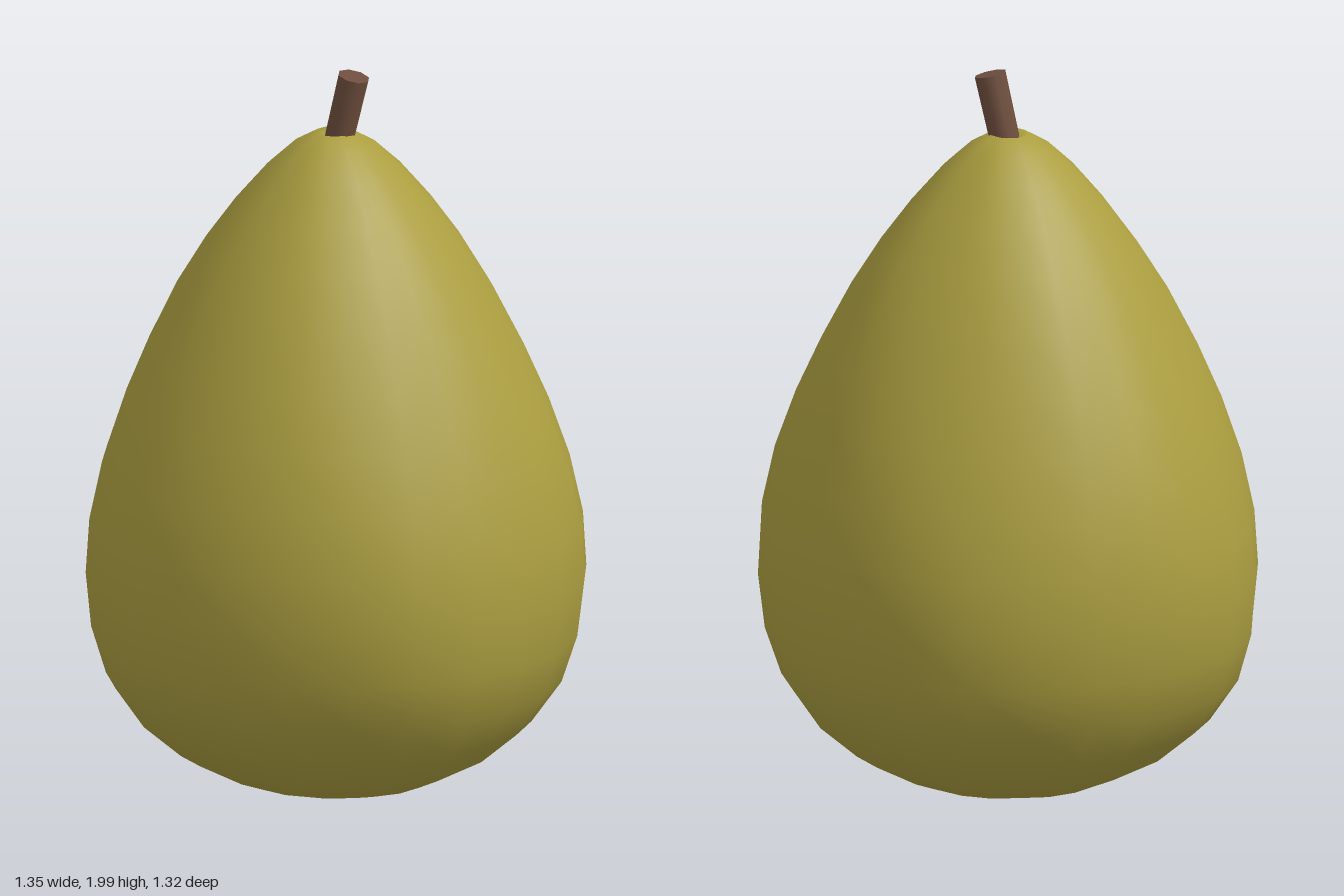
import * as THREE from 'three';
import { mergeVertices } from 'three/addons/utils/BufferGeometryUtils.js';

const skin = new THREE.MeshStandardMaterial({ name: 'olive skin', color: 0xab9e40 });
const bark = new THREE.MeshStandardMaterial({ name: 'brown stem', color: 0x6f4f3e });

// Radius and height from the base dimple up to the hollow around the stem
const PROFILE = [
  [0, 0.025], [0.06, 0.015], [0.15, 0.02], [0.3, 0.065], [0.43, 0.135], [0.535, 0.225],
  [0.615, 0.34], [0.655, 0.47], [0.67, 0.62], [0.66, 0.77], [0.625, 0.93], [0.57, 1.09],
  [0.505, 1.24], [0.425, 1.4], [0.345, 1.53], [0.265, 1.64], [0.18, 1.74], [0.11, 1.805],
  [0.05, 1.84], [0.025, 1.83], [0, 1.82],
];

function fruitGeometry() {
  const lathe = new THREE.LatheGeometry(PROFILE.map(([r, y]) => new THREE.Vector2(r, y)), 24);
  const pos = lathe.attributes.position;
  // Gentle lumps all over, with creases that gather at both ends
  for (let i = 0; i < pos.count; i++) {
    const x = pos.getX(i), y = pos.getY(i), z = pos.getZ(i);
    const a = Math.atan2(z, x);
    const ends = Math.pow(Math.abs(y - 0.92) / 0.92, 3);
    const lump = 0.008 * Math.sin(3 * a + 2.5 * y) + 0.006 * Math.sin(5 * a - 4 * y);
    const crease = 0.025 * ends * Math.cos(8 * a + 1);
    const s = 1 + lump + crease;
    pos.setXYZ(i, x * s * 1.01, y, z * s * 0.985);
  }
  // Weld the seam so the shading runs smoothly around
  lathe.deleteAttribute('uv');
  lathe.deleteAttribute('normal');
  const geometry = mergeVertices(lathe, 1e-4);
  geometry.computeVertexNormals();
  return geometry;
}

export function createModel() {
  const group = new THREE.Group();
  group.name = 'pear';

  const fruit = new THREE.Mesh(fruitGeometry(), skin);
  fruit.name = 'fruit';
  group.add(fruit);

  // Short stem leaning to +x
  const stem = new THREE.Mesh(new THREE.CylinderGeometry(0.044, 0.042, 0.19, 8), bark);
  stem.name = 'stem';
  stem.position.set(0.03, 1.897, 0);
  stem.rotation.z = -0.24;
  group.add(stem);

  // Rest the base on the ground and centre the fruit
  const box = new THREE.Box3().setFromObject(fruit);
  const mid = box.getCenter(new THREE.Vector3());
  fruit.position.set(-mid.x, -0.01, -mid.z);
  return group;
}
